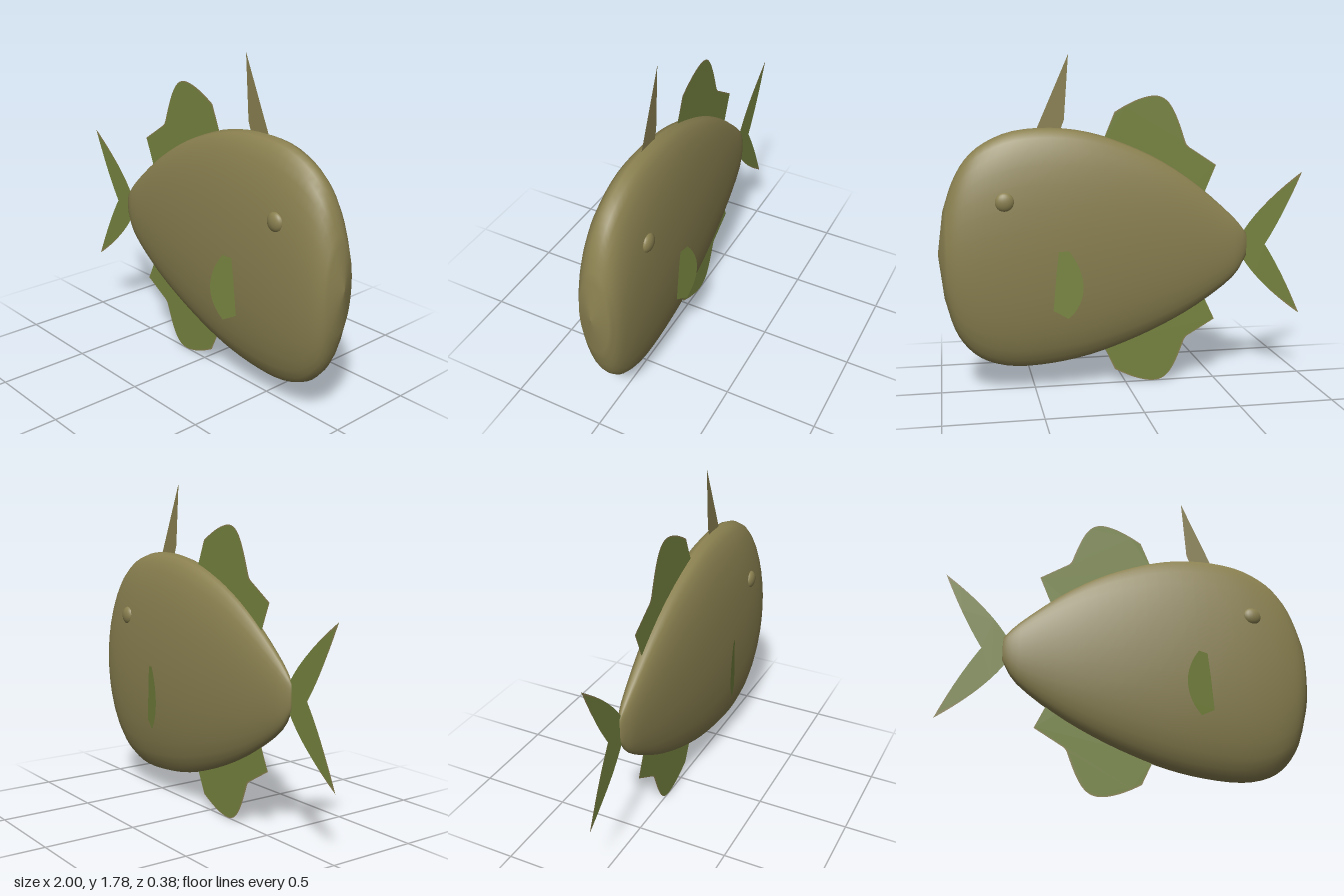
import * as THREE from 'three';

const flat = THREE.DoubleSide;
const olive = new THREE.MeshStandardMaterial({ name: 'olive', color: 0x8a8050, side: flat });
const green = new THREE.MeshStandardMaterial({ name: 'finGreen', color: 0x76843f, side: flat });

function add(parent, name, geometry, material) {
  const mesh = new THREE.Mesh(geometry, material);
  mesh.name = name;
  parent.add(mesh);
  return mesh;
}

// Body: oval rings lofted from tail to snout. Rows are x, top, bottom, half width.
function bodyGeometry() {
  const rows = [
    [-0.68, 0.82, 0.69, 0.012], [-0.6, 0.915, 0.57, 0.045], [-0.4, 1.09, 0.425, 0.08],
    [-0.2, 1.225, 0.318, 0.106], [0, 1.32, 0.235, 0.126], [0.2, 1.385, 0.172, 0.14],
    [0.4, 1.41, 0.137, 0.148], [0.6, 1.395, 0.13, 0.149], [0.75, 1.335, 0.167, 0.142],
    [0.85, 1.25, 0.24, 0.13], [0.92, 1.13, 0.35, 0.112], [0.97, 0.98, 0.52, 0.082],
  ];
  const heights = new THREE.CatmullRomCurve3(rows.map(r => new THREE.Vector3(r[0], r[1], r[2])), false, 'catmullrom');
  const widths = new THREE.CatmullRomCurve3(rows.map(r => new THREE.Vector3(r[0], r[3], 0)), false, 'catmullrom');
  const rings = [[-0.682, 0.755, 0.755, 0]];
  const steps = 33, sides = 32;
  for (let i = 0; i <= steps; i++) {
    const h = heights.getPoint(i / steps);
    rings.push([h.x, h.y, h.z, widths.getPoint(i / steps).y]);
  }
  rings.push([0.998, 0.76, 0.75, 0.001]);

  const position = [], index = [];
  rings.forEach(([x, top, bottom, w], i) => {
    for (let j = 0; j < sides; j++) {
      const a = (j / sides) * Math.PI * 2, s = Math.sin(a);
      position.push(x, (top + bottom) / 2 + Math.cos(a) * (top - bottom) / 2,
        Math.sign(s) * Math.abs(s) ** 0.9 * w);
      if (i === rings.length - 1) continue;
      const p = i * sides + j, q = i * sides + (j + 1) % sides;
      index.push(p, q, p + sides, q, q + sides, p + sides);
    }
  });
  const geometry = new THREE.BufferGeometry();
  geometry.setAttribute('position', new THREE.Float32BufferAttribute(position, 3));
  geometry.setIndex(index);
  geometry.computeVertexNormals();
  return geometry;
}

// Scalloped fin; inset pulls the outer edge in to leave a thin rim
function scallopedFin(inset) {
  const s = new THREE.Shape();
  s.moveTo(-0.43, 1.03);
  s.lineTo(-0.502 + inset, 1.2 - inset * 0.6);
  s.lineTo(-0.36, 1.293 - inset);
  s.quadraticCurveTo(-0.335 + inset, 1.305 - inset, -0.325 + inset, 1.34 - inset);
  s.bezierCurveTo(-0.27 + inset, 1.51, -0.235, 1.576 - inset, -0.155, 1.576 - inset);
  s.quadraticCurveTo(-0.07, 1.572 - inset, 0.06 - inset, 1.49 - inset);
  s.lineTo(0.13, 1.32);
  s.lineTo(0.05, 1.2);
  s.lineTo(-0.3, 1.03);
  return new THREE.ShapeGeometry(s, 14);
}

// Forked tail; inset shortens the lobes to leave coloured tips
function tailFin(inset) {
  const x = -1 + inset, lift = 0.402 - inset * 1.4;
  const s = new THREE.Shape();
  s.moveTo(-0.64, 0.8);
  s.lineTo(-0.665, 0.83);
  s.quadraticCurveTo(-0.77, 0.99, x, 0.752 + lift);
  s.quadraticCurveTo(-0.9, 0.92, -0.79, 0.752);
  s.quadraticCurveTo(-0.9, 0.584, x, 0.752 - lift);
  s.quadraticCurveTo(-0.77, 0.514, -0.665, 0.674);
  s.lineTo(-0.64, 0.7);
  return new THREE.ShapeGeometry(s, 14);
}

// Flat fin with a green face on each side of an olive rim
function rimmedFin(name, make, inset) {
  const fin = new THREE.Group();
  fin.name = name;
  add(fin, name + 'Rim', make(0), olive);
  for (const z of [-0.002, 0.002]) add(fin, name + 'Face', make(inset), green).position.z = z;
  return fin;
}

// Side fin, with its rear edge flared away from the body
function sideFin(side) {
  const s = new THREE.Shape();
  s.moveTo(0.33, 0.78);
  s.lineTo(0.382, 0.775);
  s.lineTo(0.395, 0.66);
  s.lineTo(0.412, 0.462);
  s.lineTo(0.335, 0.42);
  s.bezierCurveTo(0.25, 0.5, 0.22, 0.63, 0.33, 0.78);
  const geometry = new THREE.ShapeGeometry(s, 14);
  const p = geometry.attributes.position;
  for (let i = 0; i < p.count; i++) p.setZ(i, side * (0.19 - (p.getX(i) - 0.255) * 0.27));
  geometry.computeVertexNormals();
  return geometry;
}

export function createModel() {
  const fish = new THREE.Group();
  fish.name = 'fish';
  add(fish, 'body', bodyGeometry(), olive);

  // Median fins
  fish.add(rimmedFin('dorsalFin', scallopedFin, 0.006));
  const analFin = rimmedFin('analFin', scallopedFin, 0.006);
  analFin.scale.y = -0.89;
  analFin.position.y = 1.408;
  fish.add(analFin);
  fish.add(rimmedFin('tailFin', tailFin, 0.02));

  // Pointed spine on the back
  const spine = new THREE.Shape([[0.305, 1.79], [0.33, 1.45], [0.36, 1.37], [0.49, 1.37]]
    .map(([x, y]) => new THREE.Vector2(x, y)));
  add(fish, 'backSpine', new THREE.ShapeGeometry(spine), olive);

  // Paired eyes and side fins
  for (const side of [-1, 1]) {
    const label = side > 0 ? 'front' : 'back';
    const eye = add(fish, label + 'Eye', new THREE.SphereGeometry(0.051, 20, 14), olive);
    eye.position.set(0.655, 1.036, side * 0.125);
    eye.scale.z = 0.55;
    add(fish, label + 'SideFin', sideFin(side), green);
  }
  return fish;
}
